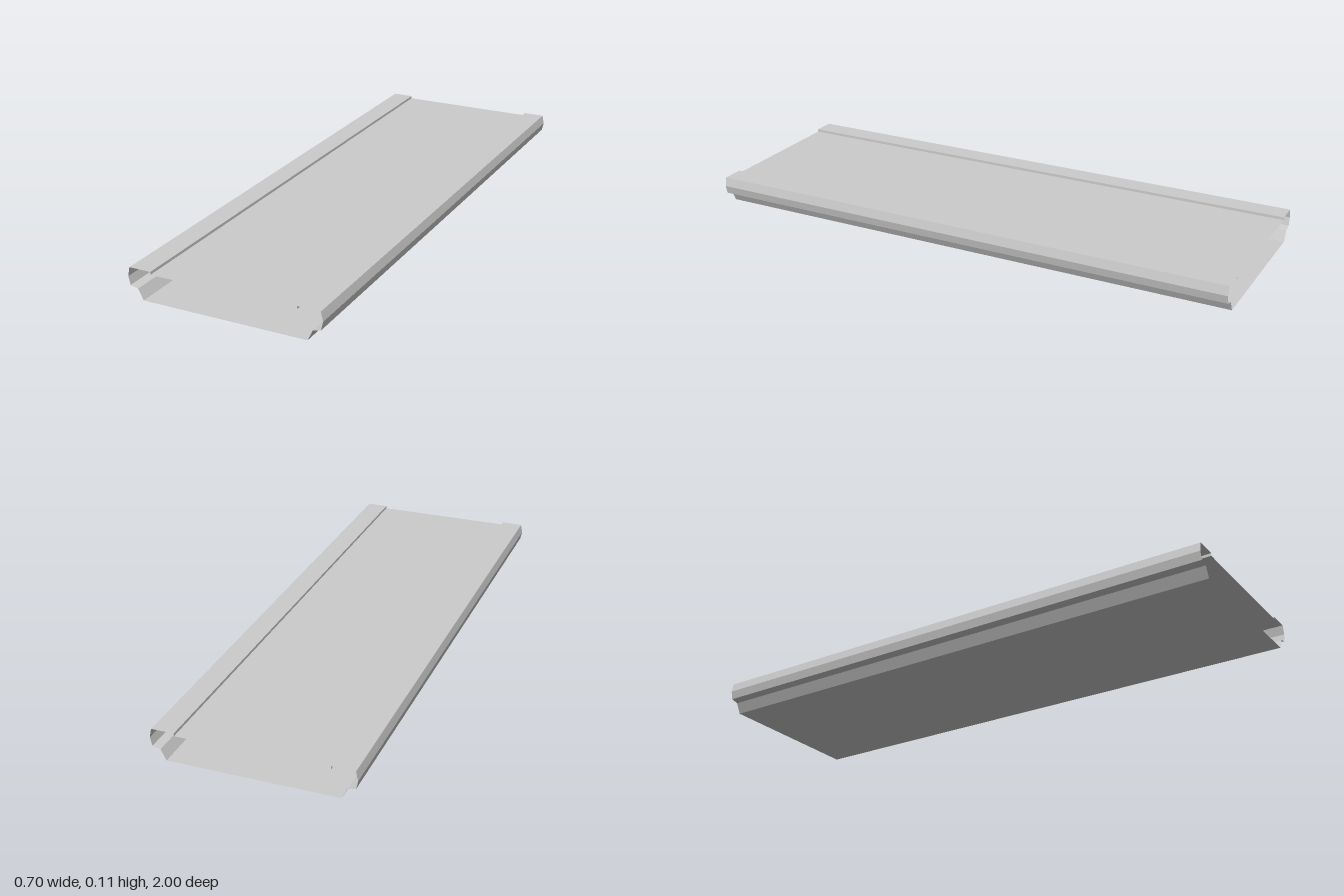
import * as THREE from 'three';

const material = new THREE.MeshStandardMaterial({ color: 0xcccccc, flatShading: true, side: THREE.DoubleSide });

// Sheet following a clockwise [x, y] profile, swept along z from -1 to 1
function sheet(name, profile) {
  const n = profile.length;
  const geometry = new THREE.PlaneGeometry(1, 1, n - 1, 1);
  const position = geometry.attributes.position;
  profile.forEach(([x, y], i) => {
    position.setXYZ(i, x, y, -1);
    position.setXYZ(n + i, x, y, 1);
  });
  const flat = geometry.toNonIndexed();
  flat.computeVertexNormals();
  const mesh = new THREE.Mesh(flat, material);
  mesh.name = name;
  return mesh;
}

const mirror = (profile) => profile.map(([x, y]) => [-x, y]).reverse();

export function createModel() {
  const group = new THREE.Group();
  group.name = 'hollowPlank';

  // Recessed top panel and flat underside
  group.add(sheet('topPanel', [[-0.265, 0.098], [0.265, 0.098]]));
  group.add(sheet('bottomPanel', [[0.298, 0], [-0.298, 0]]));

  // Raised rail with a slightly bulged outer face
  const rail = [[0.265, 0.098], [0.265, 0.108], [0.345, 0.108], [0.352, 0.075], [0.345, 0.045], [0.317, 0.038]];
  // Sloping wall below the rail
  const wall = [[0.317, 0.038], [0.298, 0]];

  group.add(sheet('leftRail', rail), sheet('rightRail', mirror(rail)));
  group.add(sheet('leftLowerWall', wall), sheet('rightLowerWall', mirror(wall)));
  return group;
}
